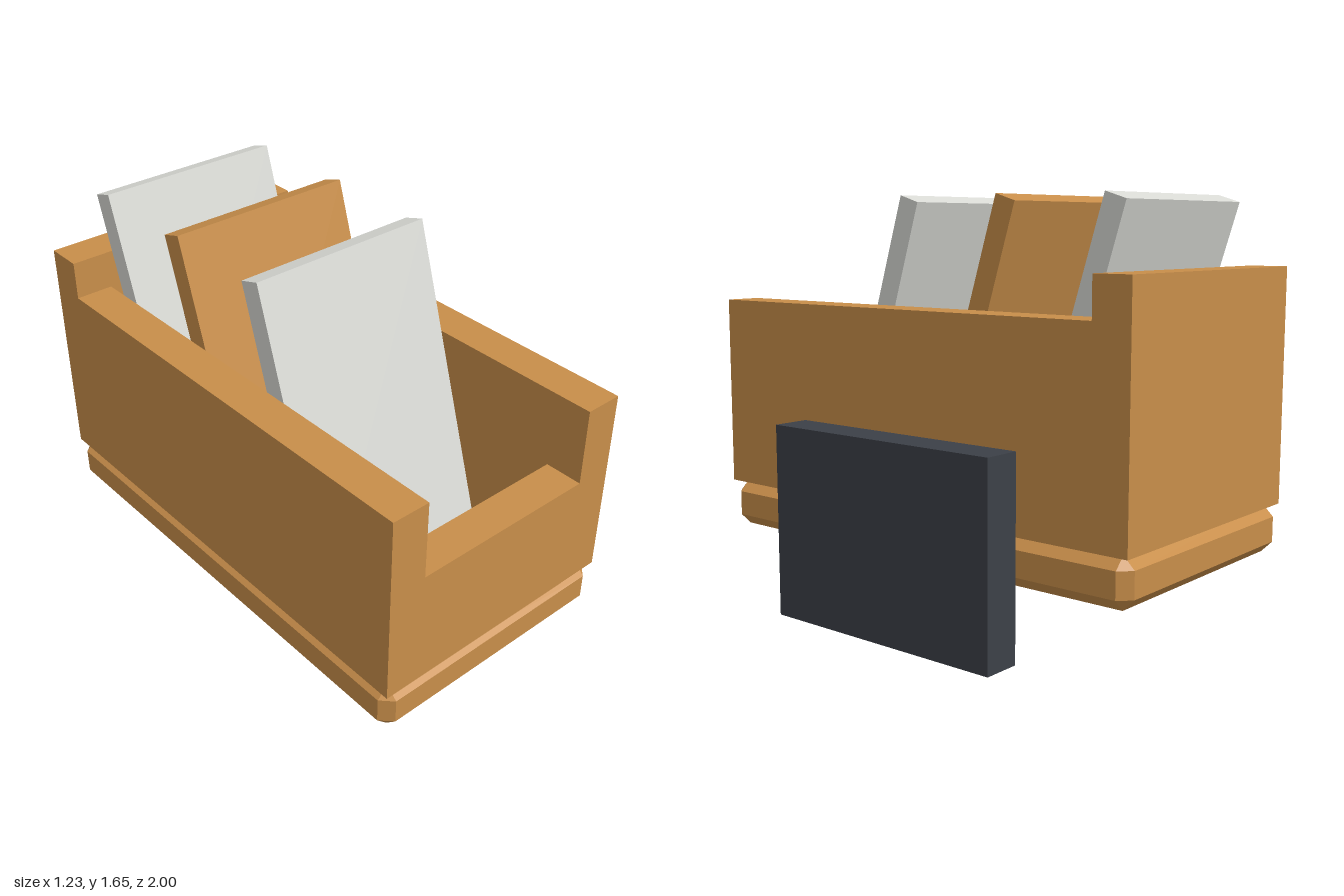
import * as THREE from 'three';
import { ConvexGeometry } from 'three/addons/geometries/ConvexGeometry.js';

const wood = new THREE.MeshStandardMaterial({ color: 0xc88e4a });
wood.name = 'wood';
const lightGrey = new THREE.MeshStandardMaterial({ color: 0xd9dad5 });
lightGrey.name = 'lightGrey';
const slate = new THREE.MeshStandardMaterial({ color: 0x3c4047 });
slate.name = 'slate';

// Main dimensions of the crate
const X0 = -0.615, X1 = 0.46, MID = (X0 + X1) / 2;
const WALL = 0.153, FLOOR = 0.465, RIM = 1.235;

// Box given by its min and max corners
function block(parent, name, material, [x0, y0, z0], [x1, y1, z1]) {
  const mesh = new THREE.Mesh(new THREE.BoxGeometry(x1 - x0, y1 - y0, z1 - z0), material);
  mesh.position.set((x0 + x1) / 2, (y0 + y1) / 2, (z0 + z1) / 2);
  mesh.name = name;
  parent.add(mesh);
}

// Box with all edges and corners chamfered by c
function chamferedBox(w, h, d, c) {
  const points = [];
  for (const sx of [-1, 1]) for (const sy of [-1, 1]) for (const sz of [-1, 1]) {
    const x = w / 2, y = h / 2, z = d / 2;
    points.push(
      new THREE.Vector3(sx * x, sy * (y - c), sz * (z - c)),
      new THREE.Vector3(sx * (x - c), sy * y, sz * (z - c)),
      new THREE.Vector3(sx * (x - c), sy * (y - c), sz * z));
  }
  return new ConvexGeometry(points);
}

export function createModel() {
  const model = new THREE.Group();
  model.name = 'fileCrate';

  // Chamfered base, whose top is also the crate floor
  const base = new THREE.Mesh(chamferedBox(X1 - X0, 0.19, 2, 0.045), wood);
  base.name = 'base';
  base.position.set(MID, 0.37, 0);
  model.add(base);

  // Walls: low front between the sides, raised back
  const crate = new THREE.Group();
  crate.name = 'crate';
  model.add(crate);
  block(crate, 'leftWall', wood, [X1 - WALL, FLOOR, -0.847], [X1, RIM, 1]);
  block(crate, 'rightWall', wood, [X0, FLOOR, -0.847], [X0 + WALL, RIM, 1]);
  block(crate, 'frontWall', wood, [X0 + WALL, FLOOR, 0.847], [X1 - WALL, 0.925, 1]);
  block(crate, 'backWall', wood, [X0, FLOOR, -1], [X1, 1.388, -0.847]);

  // Leaning dividers, each hung from its top front edge
  const length = 1.25, thick = 0.09;
  [[0.145, lightGrey], [-0.32, wood], [-0.787, lightGrey]].forEach(([z, material], i) => {
    const geometry = new THREE.BoxGeometry(X1 - X0 - 2 * WALL, length, thick);
    geometry.translate(0, -length / 2, -thick / 2);
    const divider = new THREE.Mesh(geometry, material);
    divider.name = 'divider' + (i + 1);
    divider.position.set(MID, 1.655, z);
    divider.rotation.x = -0.3;
    model.add(divider);
  });

  // Dark slab standing against the left side
  block(model, 'sidePanel', slate, [X1, 0, -0.538], [0.613, 0.77, 0.538]);

  return model;
}
